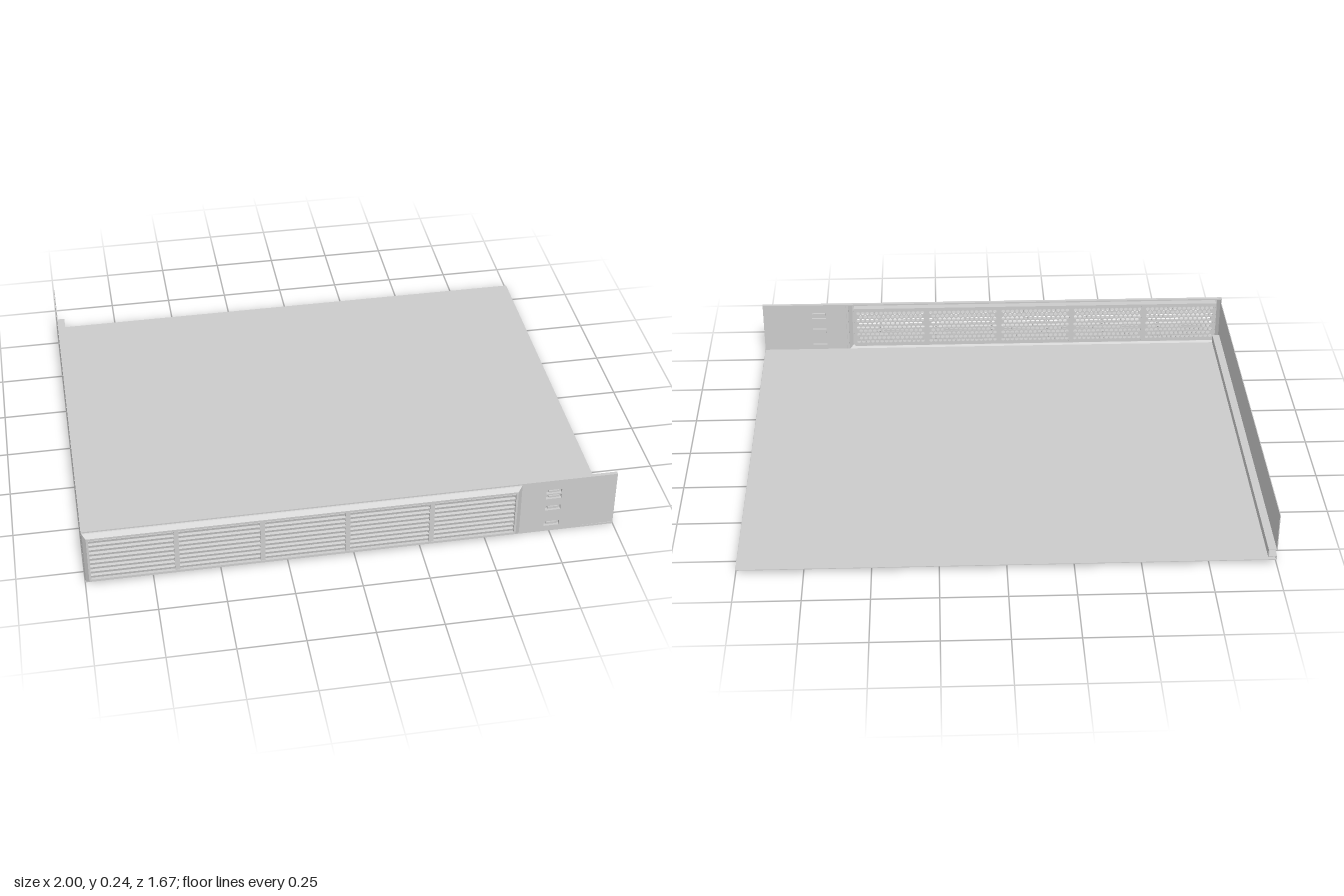
import * as THREE from 'three';

const grey = new THREE.MeshStandardMaterial({ color: 0xcccccc, flatShading: true, side: THREE.DoubleSide });

function add(parent, name, geometry, x = 0, y = 0, z = 0) {
  const mesh = new THREE.Mesh(geometry, grey);
  mesh.name = name;
  mesh.position.set(x, y, z);
  parent.add(mesh);
  return mesh;
}

// Box given by its limits on each axis
function block(parent, name, x0, x1, y0, y1, z0, z1) {
  return add(parent, name, new THREE.BoxGeometry(x1 - x0, y1 - y0, z1 - z0),
    (x0 + x1) / 2, (y0 + y1) / 2, (z0 + z1) / 2);
}

function polygon(points, Type = THREE.Shape) {
  return new Type(points.map(([x, y]) => new THREE.Vector2(x, y)));
}

function rect(x0, x1, y0, y1, Type) {
  return polygon([[x0, y0], [x1, y0], [x1, y1], [x0, y1]], Type);
}

const extrude = (shape, depth) => new THREE.ExtrudeGeometry(shape, { depth, bevelEnabled: false });

// Rectangular frame joining successive rectangles [x0, x1, y0, y1, z]
function rectLoft(sections) {
  const pos = [], index = [];
  for (const [x0, x1, y0, y1, z] of sections) pos.push(x0, y0, z, x1, y0, z, x1, y1, z, x0, y1, z);
  for (let s = 0; s < sections.length - 1; s++) {
    for (let i = 0; i < 4; i++) {
      const a = s * 4 + i, b = s * 4 + (i + 1) % 4;
      index.push(a, b, b + 4, a, b + 4, a + 4);
    }
  }
  const g = new THREE.BufferGeometry();
  g.setAttribute('position', new THREE.Float32BufferAttribute(pos, 3));
  g.setIndex(index);
  g.computeVertexNormals();
  return g;
}

// Thin sheet perforated by staggered hexagons
function honeycomb(w, h, depth) {
  const sheet = rect(-w / 2, w / 2, -h / 2, h / 2);
  const pitch = 0.02, row = 0.0173, r = 0.0085;
  for (let j = -4; j <= 4; j++) {
    for (let i = -7; i <= 7; i++) {
      const cx = i * pitch + (j % 2 ? pitch / 2 : 0), cy = j * row;
      if (Math.abs(cx) + r > w / 2) continue;
      const hex = [];
      for (let k = 0; k < 6; k++) {
        const a = Math.PI / 6 + k * Math.PI / 3;
        hex.push([cx + r * Math.cos(a), cy + r * Math.sin(a)]);
      }
      sheet.holes.push(polygon(hex, THREE.Path));
    }
  }
  return extrude(sheet, depth);
}

function buildTray() {
  const tray = new THREE.Group();
  tray.name = 'tray';
  const back = -0.834, front = 0.8, railFront = 0.785, t = 0.003;

  // Floor and one folded side wall with a channel pressed inwards
  block(tray, 'floor', -1, 1, 0.018, 0.018 + t, back, front);
  const fold = [
    [-1, 0.018], [-1, 0.035], [-0.97, 0.035], [-0.97, 0.062], [-1, 0.062], [-1, 0.218],
    [-1 + t, 0.218], [-1 + t, 0.062 + t], [-0.97 + t, 0.062 + t], [-0.97 + t, 0.035 - t],
    [-1 + t, 0.035 - t], [-1 + t, 0.018],
  ];
  add(tray, 'sideWall', extrude(polygon(fold), railFront - back), 0, 0, back);
  block(tray, 'channelEnd', -1, -0.967, 0.032, 0.065, railFront - t, railFront);
  block(tray, 'sideWallFront', -1, -1 + t, 0.018, 0.218, railFront, front);
  return tray;
}

function buildGrille() {
  const grille = new THREE.Group();
  grille.name = 'grille';
  const x0 = -0.977, x1 = 0.606, y0 = 0.03, y1 = 0.214;

  // Bevelled surround
  add(grille, 'grilleSurround', rectLoft([
    [-1, 0.64, 0.004, 0.237, 0.804],
    [-0.997, 0.63, 0.010, 0.233, 0.815],
    [-0.985, 0.614, 0.021, 0.223, 0.834],
    [x0, x1, y0, y1, 0.834],
    [x0, x1, y0, y1, 0.804],
  ]));

  // Five bays of slats over perforated sheets, split by uprights
  const bays = 5, pitch = (x1 - x0) / bays, slats = 9;
  const mesh = honeycomb(pitch, y1 - y0, 0.002);
  const slat = new THREE.BoxGeometry(x1 - x0, 0.011, 0.01);
  for (let i = 0; i < bays; i++) {
    add(grille, 'perforatedSheet', mesh, x0 + (i + 0.5) * pitch, (y0 + y1) / 2, 0.805);
    if (i) {
      const x = x0 + i * pitch;
      block(grille, 'upright', x - 0.009, x + 0.009, y0, y1, 0.804, 0.832);
    }
  }
  for (let i = 0; i < slats; i++) {
    add(grille, 'slat', slat, (x0 + x1) / 2, y0 + (i + 0.5) * (y1 - y0) / slats, 0.823).rotation.x = 0.25;
  }
  return grille;
}

function buildControlPanel() {
  const panel = new THREE.Group();
  panel.name = 'controlPanel';
  const z0 = 0.805, z1 = 0.811;

  // Panel face with pockets that hold small buttons
  const face = rect(0.63, 0.81, 0.004, 0.237);
  const px0 = 0.728, px1 = 0.788;
  for (const [y0, y1] of [[0.178, 0.197], [0.154, 0.173], [0.1, 0.121], [0.025, 0.046]]) {
    face.holes.push(rect(px0, px1, y0, y1, THREE.Path));
    add(panel, 'buttonPocket', rectLoft([[px0, px1, y0, y1, z1], [px0, px1, y0, y1, 0.797]]));
    block(panel, 'pocketBack', px0, px1, y0, y1, 0.796, 0.798);
    block(panel, 'button', px0 + 0.01, px1 - 0.01, y0 + 0.006, y1 - 0.006, 0.798, 0.809);
  }
  add(panel, 'panelFace', extrude(face, z1 - z0), 0, 0, z0);

  // End strips, each set very slightly further back
  [0.81, 0.87, 0.94].forEach((x, i) => {
    block(panel, 'endStrip', x, [0.87, 0.94, 1][i], 0.004, 0.237, z0, z1 - 0.001 * i);
  });
  return panel;
}

export function createModel() {
  const model = new THREE.Group();
  model.name = 'rackChassis';
  model.add(buildTray(), buildGrille(), buildControlPanel());

  // Lips along the top and bottom of the front
  block(model, 'topLip', -1, 1, 0.234, 0.24, 0.797, 0.811);
  block(model, 'bottomLip', -1, 1, 0, 0.008, 0.8, 0.811);
  return model;
}
